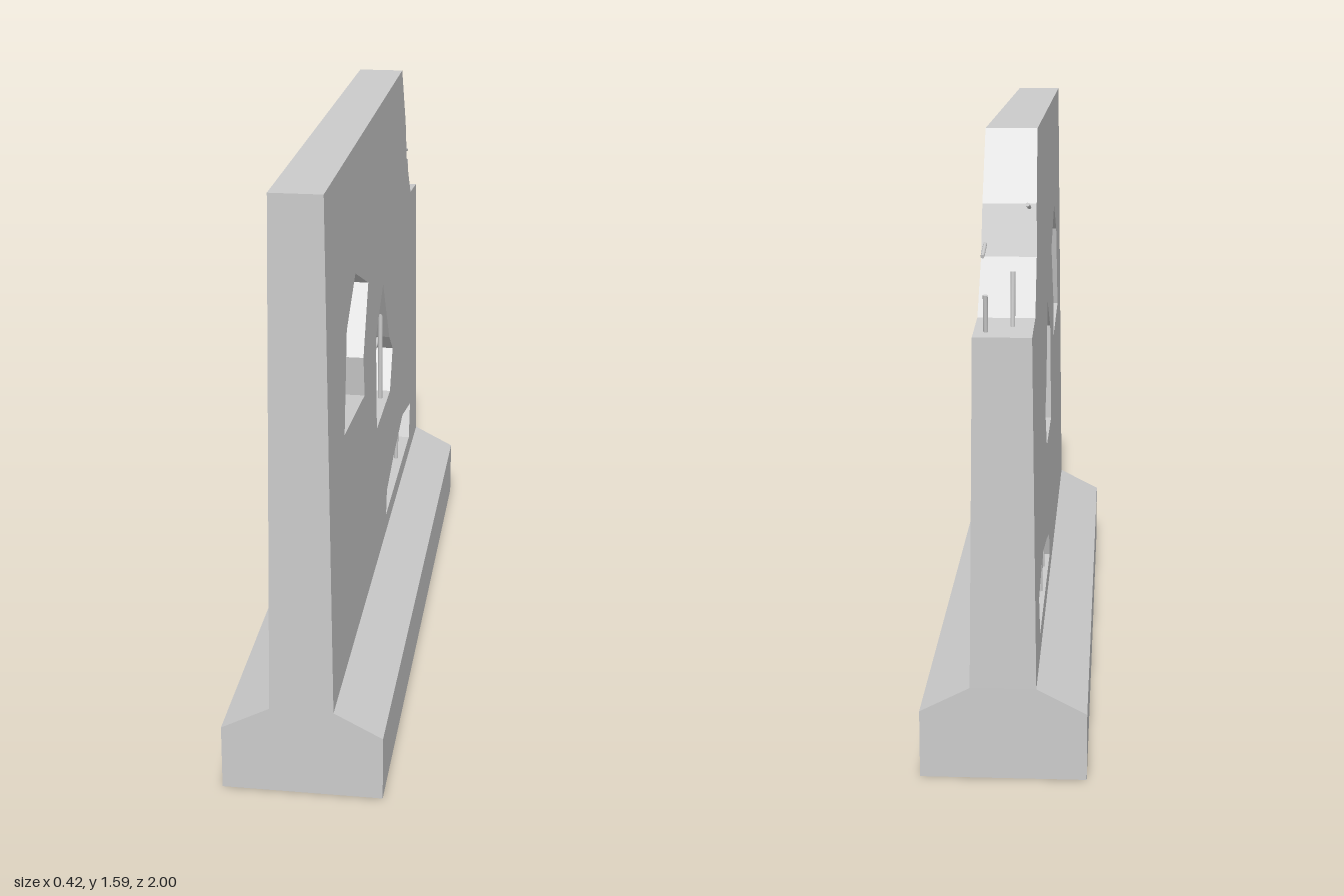
import * as THREE from 'three';

const FOOT = 0.24, TOP = 1.59;
const material = new THREE.MeshStandardMaterial({ color: 0xcccccc, side: THREE.DoubleSide });

// Points are given as [z, y]; the shape is later turned to lie along z.
const toPoints = (list) => list.map(([z, y]) => new THREE.Vector2(-z, y));

// Removes the flat faces at the given height, leaving the shell open there.
function openAt(geometry, height) {
  const p = geometry.attributes.position, kept = [];
  for (let i = 0; i < p.count; i += 3) {
    const flat = [0, 1, 2].every((k) => Math.abs(p.getY(i + k) - height) < 1e-4);
    if (flat) continue;
    for (let k = 0; k < 3; k++) kept.push(p.getX(i + k), p.getY(i + k), p.getZ(i + k));
  }
  const result = new THREE.BufferGeometry();
  result.setAttribute('position', new THREE.Float32BufferAttribute(kept, 3));
  result.computeVertexNormals();
  return result;
}

function addMesh(group, name, geometry) {
  const mesh = new THREE.Mesh(geometry, material);
  mesh.name = name;
  group.add(mesh);
}

// Tapered wall slab with a broken corner and three breaches
function wallGeometry() {
  const shape = new THREE.Shape(toPoints([
    [1, FOOT], [1, TOP], [-0.6, TOP], [-0.69, 1.41], [-0.72, 1.28],
    [-0.83, 1.145], [-1, 1.13], [-1, FOOT],
  ]));
  const breaches = [
    [[0.735, 0.895], [0.67, 1.155], [0.5, 1.255], [0.25, 1.155], [0.365, 0.975], [0.35, 0.86]],
    [[0.095, 0.66], [0.095, 0.945], [-0.08, 1.05], [-0.22, 0.84], [-0.305, 0.775], [-0.23, 0.66]],
    [[-0.11, 0.295], [-0.135, 0.365], [-0.3, 0.405], [-0.57, 0.45], [-0.8, 0.405], [-0.76, 0.295]],
  ];
  for (const b of breaches) shape.holes.push(new THREE.Path(toPoints(b)));
  const g = new THREE.ExtrudeGeometry(shape, { depth: 2, bevelEnabled: false });
  g.translate(0, 0, -1).rotateY(Math.PI / 2);
  const p = g.attributes.position;
  for (let i = 0; i < p.count; i++) {
    const t = (p.getY(i) - FOOT) / (TOP - FOOT);
    p.setX(i, Math.sign(p.getX(i)) * THREE.MathUtils.lerp(0.083, 0.066, t));
  }
  return openAt(g, FOOT);
}

// Hollow footing with sloped shoulders, open underneath
function footingGeometry() {
  const profile = [[-0.21, 0], [0.21, 0], [0.21, 0.175], [0.083, FOOT], [-0.083, FOOT], [-0.21, 0.175]];
  const shape = new THREE.Shape(profile.map(([x, y]) => new THREE.Vector2(x, y)));
  const g = new THREE.ExtrudeGeometry(shape, { depth: 2, bevelEnabled: false });
  g.translate(0, 0, -1);
  return openAt(openAt(g, 0), FOOT);
}

// Straight-sectioned steel rod at depth x through [z, y] points
function addRod(group, name, x, points, radius = 0.007) {
  for (let i = 0; i + 1 < points.length; i++) {
    const [a, b] = [points[i], points[i + 1]].map(([z, y]) => new THREE.Vector3(x, y, z));
    const dir = b.clone().sub(a);
    const g = new THREE.CylinderGeometry(radius, radius, dir.length(), 8);
    g.applyQuaternion(new THREE.Quaternion().setFromUnitVectors(new THREE.Vector3(0, 1, 0), dir.normalize()));
    g.translate(x, (a.y + b.y) / 2, (a.z + b.z) / 2);
    addMesh(group, name, g);
  }
}

export function createModel() {
  const model = new THREE.Group();
  model.name = 'brokenWall';
  addMesh(model, 'wall', wallGeometry());
  addMesh(model, 'footing', footingGeometry());

  const rods = new THREE.Group();
  rods.name = 'reinforcement';
  model.add(rods);

  // Upper breach
  addRod(rods, 'upperBreachRod', 0.05, [[0.66, 0.88], [0.66, 1.17]]);
  addRod(rods, 'upperBreachRod', -0.05, [[0.662, 0.88], [0.662, 1.17]]);
  addRod(rods, 'upperBreachBentRod', -0.04, [[0.425, 0.85], [0.44, 0.97], [0.41, 1.24]]);
  addRod(rods, 'upperBreachCrossRod', -0.03, [[0.75, 0.925], [0.65, 0.948], [0.44, 0.97]]);

  // Middle breach
  addRod(rods, 'middleBreachRod', 0.05, [[0.02, 0.64], [0.02, 1.01]]);
  addRod(rods, 'middleBreachRod', 0.055, [[-0.165, 0.64], [-0.165, 0.94]]);
  addRod(rods, 'middleBreachCrossRod', 0.04, [[0.11, 0.83], [-0.24, 0.83]]);
  addRod(rods, 'middleBreachStub', -0.03, [[-0.16, 0.65], [-0.14, 0.755]], 0.005);

  // Lower breach
  for (const [x, z, top] of [[-0.065, -0.22, 0.4], [0.02, -0.255, 0.405], [-0.068, -0.43, 0.435], [0.06, -0.57, 0.46]]) {
    addRod(rods, 'lowerBreachRod', x, [[z, 0.235], [z, top]]);
  }

  // Broken corner
  addRod(rods, 'cornerRod', -0.05, [[-0.67, 1.397], [-0.79, 1.42]], 0.005);
  addRod(rods, 'cornerRod', 0.06, [[-0.7, 1.313], [-0.805, 1.293]], 0.005);
  addRod(rods, 'cornerRod', -0.02, [[-0.905, 1.12], [-0.887, 1.27]], 0.006);
  addRod(rods, 'cornerRod', 0.042, [[-0.95, 1.12], [-0.963, 1.225]], 0.006);
  return model;
}
